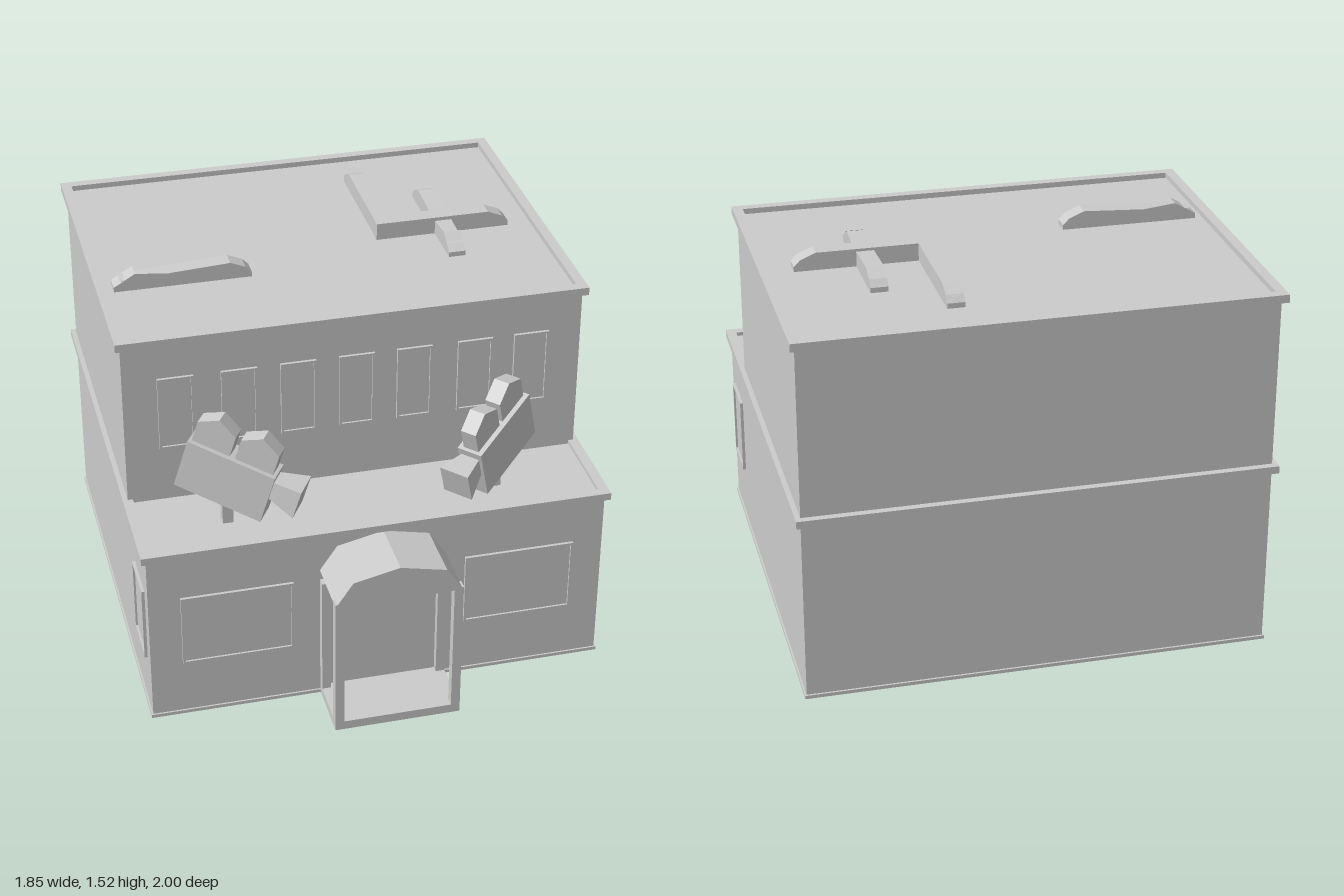
import * as THREE from 'three';

const grey = new THREE.MeshStandardMaterial({ color: 0xcccccc, flatShading: true });

function add(parent, name, geometry, x = 0, y = 0, z = 0) {
  const mesh = new THREE.Mesh(geometry, grey);
  mesh.name = name;
  mesh.position.set(x, y, z);
  parent.add(mesh);
  return mesh;
}

// Box given by its limits on each axis
function box(parent, name, x0, x1, y0, y1, z0, z1) {
  return add(parent, name, new THREE.BoxGeometry(x1 - x0, y1 - y0, z1 - z0),
    (x0 + x1) / 2, (y0 + y1) / 2, (z0 + z1) / 2);
}

function extrude(points, depth, hole) {
  const shape = new THREE.Shape(points.map(p => new THREE.Vector2(...p)));
  if (hole) shape.holes.push(new THREE.Path(hole.map(p => new THREE.Vector2(...p))));
  return new THREE.ExtrudeGeometry(shape, { depth, bevelEnabled: false });
}

const rect = (x0, x1, y0, y1) => [[x0, y0], [x1, y0], [x1, y1], [x0, y1]];

// Rectangular band around a floor plan, open in the middle
function band(parent, name, halfX, z0, z1, y0, y1, t) {
  const g = extrude(rect(-halfX, halfX, -z1, -z0), y1 - y0,
    rect(-halfX + t, halfX - t, -z1 + t, -z0 - t));
  g.rotateX(-Math.PI / 2);
  return add(parent, name, g, 0, y0, 0);
}

// Framed window lying on a wall, facing +z before it is turned
function windowUnit(parent, name, w, h, x, y, z, turn = 0) {
  const unit = new THREE.Group();
  unit.name = name;
  const t = 0.01;
  add(unit, 'windowFrame', extrude(rect(-w / 2, w / 2, -h / 2, h / 2), 0.014,
    rect(-w / 2 + t, w / 2 - t, -h / 2 + t, h / 2 - t)), 0, 0, -0.002);
  box(unit, 'windowPane', -w / 2 + t, w / 2 - t, -h / 2 + t, h / 2 - t, -0.002, 0.004);
  unit.position.set(x, y, z);
  unit.rotation.y = turn;
  parent.add(unit);
}

// Film camera with its lens toward local +x
function filmCamera(name, x, z, yaw, postX) {
  const group = new THREE.Group();
  group.name = name;
  const head = new THREE.Group();
  head.name = 'cameraHead';
  head.position.set(x, 0.947, z);
  head.rotation.set(0, yaw, -0.29, 'YXZ');
  box(head, 'cameraBody', -0.18, 0.18, -0.107, 0.107, -0.053, 0.053);
  for (const rx of [-0.09, 0.088]) {
    const reel = new THREE.CylinderGeometry(0.09, 0.09, 0.066, 6);
    reel.rotateX(Math.PI / 2);
    add(head, 'filmReel', reel, rx, 0.152, 0);
  }
  // Square lens hood, wider at its open end
  const hood = new THREE.CylinderGeometry(0.088, 0.055, 0.115, 4);
  hood.rotateY(Math.PI / 4);
  hood.rotateZ(-Math.PI / 2);
  add(head, 'lensHood', hood, 0.235, 0.04, 0);
  group.add(head);
  box(group, 'cameraPost', postX - 0.021, postX + 0.021, 0.75, 0.9, 0.543, 0.587);
  return group;
}

// Roof bar along local +x with a sloped or upright end on each side
function roofBar(parent, length, x, z, turn = 0, squareStart = false) {
  const h = 0.07, a = length / 2;
  const start = squareStart ? [[-a, h]] : [[-a + 0.025, 0.045], [-a + 0.085, h]];
  const g = extrude([[-a, 0], [a, 0], [a, 0.02], [a - 0.025, 0.045], [a - 0.085, h],
    ...start, [-a, squareStart ? 0.03 : 0.02]], 0.068);
  g.translate(0, 0, -0.034);
  add(parent, 'roofBar', g, x, 1.45, z).rotation.y = turn;
}

export function createModel() {
  const model = new THREE.Group();
  model.name = 'filmTheatre';

  // Ground storey, open underneath
  band(model, 'groundWalls', 0.905, -0.972, 0.75, 0, 0.742, 0.012);
  band(model, 'plinth', 0.912, -0.98, 0.757, 0, 0.014, 0.018);
  box(model, 'terraceDeck', -0.9, 0.9, 0.738, 0.752, -0.965, 0.745);
  band(model, 'lowerCornice', 0.925, -1, 0.768, 0.738, 0.768, 0.04);

  // Upper storey
  box(model, 'upperWalls', -0.905, 0.905, 0.745, 1.45, -0.972, 0.365);
  band(model, 'upperCornice', 0.925, -1, 0.385, 1.44, 1.472, 0.04);

  // Windows
  for (const x of [-0.702, -0.456, -0.225, 0.005, 0.235, 0.478, 0.705])
    windowUnit(model, 'upperWindow', 0.14, 0.31, x, 1.14, 0.365);
  for (const x of [-0.56, 0.565])
    windowUnit(model, 'frontWindow', 0.44, 0.308, x, 0.398, 0.75);
  for (const s of [-1, 1])
    windowUnit(model, 'sideWindow', 0.208, 0.312, s * 0.905, 0.398, 0.577, s * Math.PI / 2);

  // Entrance porch, centred slightly to one side
  const porch = new THREE.Group();
  porch.name = 'entrancePorch';
  porch.position.x = 0.015;
  model.add(porch);
  box(porch, 'porchFloor', -0.25, 0.25, 0, 0.037, 0.745, 1);
  box(porch, 'door', -0.22, 0.22, 0.01, 0.53, 0.725, 0.757);
  box(porch, 'doorLintel', -0.25, 0.25, 0.512, 0.545, 0.745, 0.785);
  for (const s of [-1, 1]) {
    for (const [z, top] of [[0.765, 0.545], [0.981, 0.6]])
      add(porch, 'porchPost', new THREE.BoxGeometry(0.036, top, 0.038), s * 0.232, top / 2, z);
  }
  const canopy = [[-0.25, 0.588], [0.25, 0.588], [0.182, 0.69], [0, 0.731], [-0.182, 0.69]];
  add(porch, 'porchCanopy', extrude(canopy, 0.275), 0, 0, 0.725);

  // Film cameras standing on the terrace
  model.add(filmCamera('rightCamera', -0.542, 0.55, -0.54, -0.555));
  model.add(filmCamera('leftCamera', 0.518, 0.56, Math.PI + 0.715, 0.51));

  // Low bars on the roof
  roofBar(model, 0.545, -0.583, -0.09);
  roofBar(model, 0.55, 0.515, -0.267, 0, true);
  roofBar(model, 0.545, 0.516, -0.297, Math.PI / 2);
  roofBar(model, 0.545, 0.275, -0.506, Math.PI / 2, true);
  return model;
}
